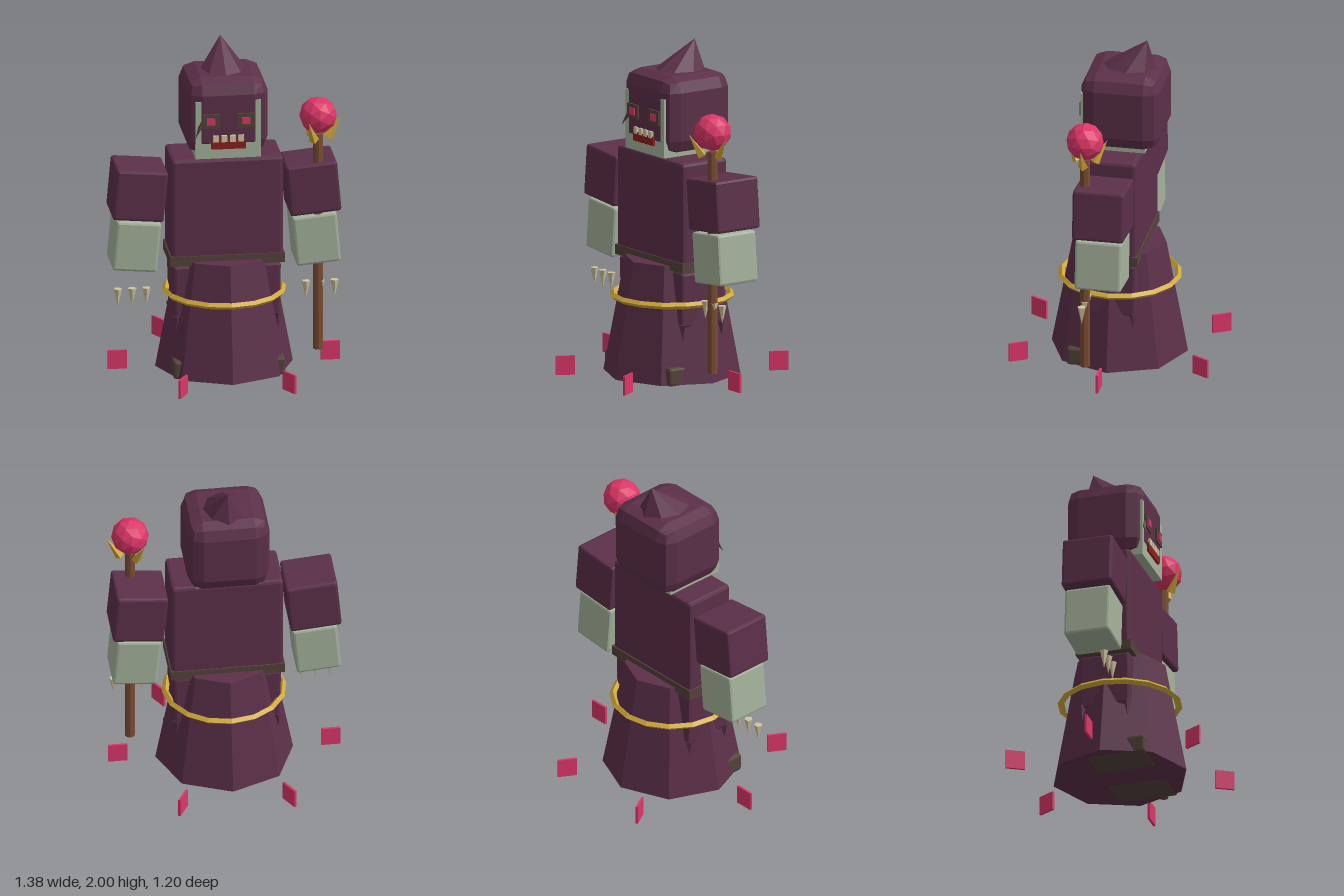
import * as THREE from 'three';
import { RoundedBoxGeometry } from 'three/addons/geometries/RoundedBoxGeometry.js';

function mat(name, color) {
  const m = new THREE.MeshStandardMaterial({ color, flatShading: true });
  m.name = name;
  return m;
}

export function createModel() {
  const cloth = mat('plum cloth', 0x5c3049);
  const skin = mat('pale skin', 0xa5b39c);
  const leather = mat('dark leather', 0x54433a);
  const wood = mat('staff wood', 0x7a4d33);
  const gold = mat('gold', 0xd0a838);
  const pink = mat('glowing pink', 0xdc3668);
  const bone = mat('bone', 0xcfc5a0);
  const red = mat('mouth red', 0x8c1f20);

  const root = new THREE.Group();
  root.name = 'robedFigure';
  const add = (name, geo, material, x = 0, y = 0, z = 0) => {
    const m = new THREE.Mesh(geo, material);
    m.name = name;
    m.position.set(x, y, z);
    root.add(m);
    return m;
  };
  const block = (w, h, d, r = 0.015) => new RoundedBoxGeometry(w, h, d, 1, r);
  const box = (w, h, d) => new THREE.BoxGeometry(w, h, d);
  const up = new THREE.Vector3(0, 1, 0);
  // Cone from a base point to a tip point
  const spike = (name, from, to, radius, sides, material) => {
    const a = new THREE.Vector3(...from), b = new THREE.Vector3(...to);
    const dir = b.clone().sub(a);
    const mid = a.clone().add(b).multiplyScalar(0.5);
    const m = add(name, new THREE.ConeGeometry(radius, dir.length(), sides), material, mid.x, mid.y, mid.z);
    m.quaternion.setFromUnitVectors(up, dir.normalize());
    return m;
  };

  // Robe: eight-sided skirt, torso, belt and gold hoop
  add('skirt', new THREE.CylinderGeometry(0.28, 0.41, 0.695, 8), cloth, 0, 0.3575, 0);
  add('torso', block(0.665, 0.64, 0.325, 0.02), cloth, 0, 1.02, 0);
  add('belt', box(0.68, 0.06, 0.34), leather, 0, 0.71, 0);
  const hoop = add('goldHoop', new THREE.TorusGeometry(0.35, 0.02, 4, 16), gold, 0, 0.48, 0);
  hoop.rotation.x = Math.PI / 2;

  // Mirrored limbs
  for (const s of [-1, 1]) {
    const side = s > 0 ? 'left' : 'right';
    const leg = add(side + 'Leg', block(0.29, 0.33, 0.31), cloth, s * 0.172, 0.51, 0);
    leg.rotation.z = -s * 0.02;
    for (const z of [-0.14, 0.14])
      spike(side + 'Tatter', [s * 0.3, 0.36, z], [s * 0.305, 0.265, z], 0.025, 4, cloth);
    add(side + 'Boot', block(0.24, 0.11, 0.36), leather, s * 0.213, 0.06, 0.075);
    const upper = add(side + 'UpperArm', block(0.305, 0.31, 0.31), cloth, s * 0.516, 1.12, 0);
    const fore = add(side + 'Forearm', block(0.265, 0.305, 0.28), skin, s * 0.535, 0.8, 0);
    upper.rotation.z = s * 0.09;
    fore.rotation.z = s * 0.09;
    // Finger claws
    for (const x of [0.475, 0.56, 0.645])
      spike(side + 'Claw', [s * x, 0.535, 0.1], [s * x, 0.425, 0.1], 0.026, 5, bone);
  }

  // Hood with a swept-back point, over a pale head
  add('hood', block(0.49, 0.47, 0.475, 0.09), cloth, 0, 1.6, -0.037);
  add('head', box(0.39, 0.355, 0.388), skin, 0, 1.5325, 0.004);
  const point = new THREE.ConeGeometry(1, 0.18, 8);
  point.scale(0.145, 1, 0.17);
  const p = point.attributes.position;
  for (let i = 0; i < p.count; i++)
    p.setZ(i, p.getZ(i) - 0.115 * (p.getY(i) + 0.09) / 0.18);
  add('hoodPoint', point, cloth, 0, 1.91, -0.05);

  // Face
  for (const s of [-1, 1]) {
    add('eyeSocket', box(0.105, 0.085, 0.014), leather, s * 0.105, 1.59, 0.205);
    add('eye', box(0.05, 0.042, 0.009), pink, s * 0.105, 1.59, 0.214);
  }
  add('mouth', box(0.205, 0.055, 0.014), red, 0, 1.443, 0.204);
  for (let i = 0; i < 4; i++)
    add('tooth', box(0.034, 0.04, 0.018), bone, -0.075 + i * 0.05, 1.48, 0.206);
  spike('cheekThorn', [-0.155, 1.58, 0.19], [-0.2, 1.49, 0.225], 0.018, 4, leather);

  // Staff with orb and three prongs
  const sx = 0.547, sz = 0.1;
  add('staffShaft', new THREE.CylinderGeometry(0.03, 0.03, 1.34, 8), wood, sx, 0.78, sz);
  add('staffOrb', new THREE.IcosahedronGeometry(0.112, 1), pink, sx, 1.565, sz);
  for (let i = 0; i < 3; i++) {
    const a = i * Math.PI * 2 / 3, c = Math.cos(a), d = Math.sin(a);
    spike('staffProng', [sx + c * 0.06, 1.425, sz + d * 0.06], [sx + c * 0.14, 1.555, sz + d * 0.14], 0.03, 4, gold);
  }

  // Ring of six floating shards near the ground
  for (let i = 0; i < 6; i++) {
    const a = i * Math.PI / 3;
    const shard = add('floatingShard', box(0.115, 0.115, 0.014), pink, Math.cos(a) * 0.634, 0.0605, Math.sin(a) * 0.634);
    shard.rotation.y = -a;
  }
  return root;
}
